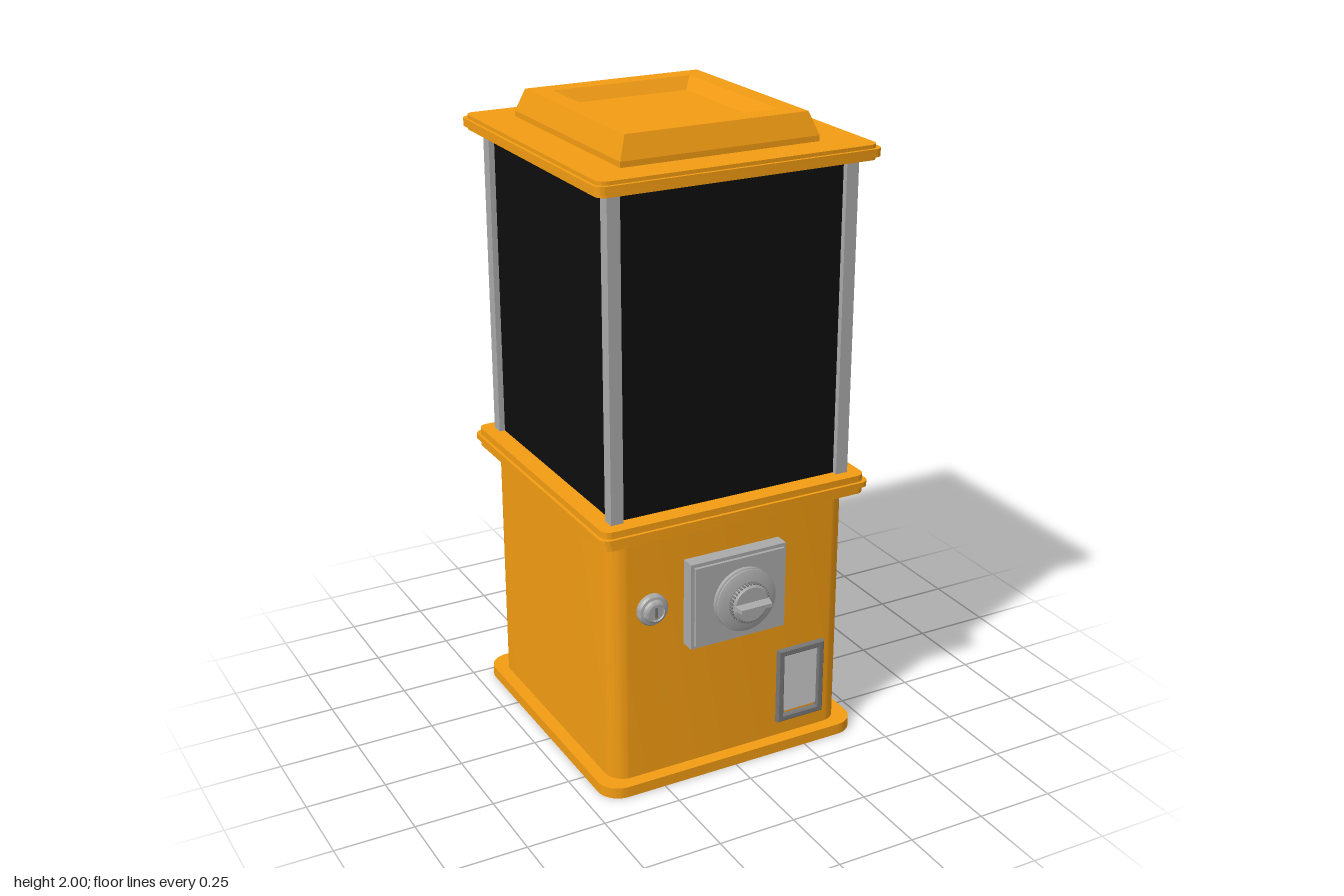
import * as THREE from 'three';
import { toCreasedNormals } from 'three/addons/utils/BufferGeometryUtils.js';

const CZ = -0.048; // cabinet centre in z
const mat = (color, side = THREE.FrontSide) => new THREE.MeshStandardMaterial({ color, side });
const orange = mat(0xf39c12);
const steel = mat(0xaaaaaa);
const paleSteel = mat(0xbcbcbc);
const darkSteel = mat(0x777777);
const black = mat(0x0d0d0d);

export function createModel() {
  const root = new THREE.Group();

  const add = (name, geometry, material, x = 0, y = 0, z = 0, parent = root) => {
    const mesh = new THREE.Mesh(geometry, material);
    mesh.name = name;
    mesh.position.set(x, y, z);
    parent.add(mesh);
    return mesh;
  };

  const group = (name, x, y, z) => {
    const g = new THREE.Group();
    g.name = name;
    g.position.set(x, y, z);
    root.add(g);
    return g;
  };

  const roundedRect = (hw, hd, r) => {
    const s = new THREE.Shape();
    s.absarc(hw - r, hd - r, r, 0, Math.PI / 2);
    s.absarc(r - hw, hd - r, r, Math.PI / 2, Math.PI);
    s.absarc(r - hw, r - hd, r, Math.PI, Math.PI * 1.5);
    s.absarc(hw - r, r - hd, r, Math.PI * 1.5, Math.PI * 2);
    s.closePath();
    return s;
  };

  // Horizontal slab with rounded corners between two heights
  const slab = (name, hw, hd, r, y0, y1) => {
    const g = new THREE.ExtrudeGeometry(roundedRect(hw, hd, r), {
      depth: y1 - y0, bevelEnabled: false, curveSegments: 8,
    });
    g.rotateX(-Math.PI / 2);
    return add(name, toCreasedNormals(g, 0.6), orange, 0, y0, CZ);
  };

  // Turned part whose axis points forward; profile is [radius, z]
  const turned = (profile, segments = 40) => {
    const g = new THREE.LatheGeometry(profile.map(([r, z]) => new THREE.Vector2(r, z)), segments);
    g.rotateX(Math.PI / 2);
    return toCreasedNormals(g, 0.5);
  };

  // Rectangular loops [halfWidth, halfDepth, y] joined upward, last one capped
  const rectLoft = (loops) => {
    const pos = [];
    const corners = ([w, d, y]) => [[-w, y, d], [w, y, d], [w, y, -d], [-w, y, -d]];
    const quad = (a, b, c, d) => pos.push(...a, ...b, ...c, ...a, ...c, ...d);
    for (let i = 0; i < loops.length - 1; i++) {
      const lo = corners(loops[i]), hi = corners(loops[i + 1]);
      for (let k = 0; k < 4; k++) {
        const n = (k + 1) % 4;
        quad(lo[k], lo[n], hi[n], hi[k]);
      }
    }
    quad(...corners(loops[loops.length - 1]));
    const g = new THREE.BufferGeometry();
    g.setAttribute('position', new THREE.Float32BufferAttribute(pos, 3));
    g.computeVertexNormals();
    return g;
  };

  // Cabinet
  slab('baseFlange', 0.445, 0.46, 0.07, 0, 0.035);
  slab('cabinetBody', 0.404, 0.418, 0.06, 0.035, 0.835);
  slab('middleFlangeLower', 0.443, 0.458, 0.03, 0.835, 0.857);
  slab('middleFlangeEdge', 0.453, 0.468, 0.03, 0.857, 0.874);
  slab('middleFlangeUpper', 0.443, 0.458, 0.03, 0.874, 0.895);

  // Display window and corner posts
  add('displayWindow', new THREE.BoxGeometry(0.766, 0.975, 0.8), black, 0, 1.3825, CZ);
  for (const sx of [-1, 1]) {
    for (const sz of [-1, 1]) {
      add('cornerPost', new THREE.BoxGeometry(0.04, 0.975, 0.04), steel,
        sx * 0.381, 1.3825, CZ + sz * 0.398);
    }
  }

  // Lid with raised, recessed cap
  slab('lidLower', 0.443, 0.458, 0.03, 1.87, 1.88);
  slab('lidEdge', 0.453, 0.468, 0.03, 1.88, 1.904);
  slab('lidUpper', 0.443, 0.458, 0.03, 1.904, 1.915);
  add('lidCap', rectLoft([
    [0.317, 0.348, 1.91], [0.317, 0.348, 1.932], [0.292, 0.325, 2],
    [0.231, 0.262, 2], [0.205, 0.236, 1.962],
  ]), orange, -0.008, 0, -0.046);

  // Coin mechanism: stepped plate, dial, knurled hub, grip
  const coin = group('coinMechanism', 0, 0.592, 0.37);
  add('coinPlate', new THREE.BoxGeometry(0.325, 0.28, 0.05), steel, -0.002, 0, 0.02, coin);
  add('coinPlateFace', new THREE.BoxGeometry(0.303, 0.258, 0.02), steel, -0.002, 0, 0.045, coin);
  const dial = group('coinDial', 0, 0.597, 0.37);
  add('dialRing', turned([
    [0.085, 0.05], [0.085, 0.064], [0.1, 0.066], [0.1, 0.077], [0.094, 0.079],
    [0.094, 0.083], [0.1, 0.085], [0.1, 0.09], [0.082, 0.097], [0, 0.097],
  ]), steel, 0, 0, 0, dial);
  add('dialHub', turned([[0.061, 0.09], [0.061, 0.114], [0.055, 0.119], [0, 0.119]]),
    steel, 0, 0, 0, dial);
  for (let i = 0; i < 36; i++) {
    const a = (i / 36) * Math.PI * 2;
    const rib = add('hubRib', new THREE.BoxGeometry(0.007, 0.006, 0.017), darkSteel,
      Math.cos(a) * 0.061, Math.sin(a) * 0.061, 0.105, dial);
    rib.rotation.z = a;
  }
  const grip = rectLoft([[0.06, 0.009, 0], [0.052, 0.006, 0.04]]);
  grip.rotateX(Math.PI / 2);
  add('dialGrip', grip, steel, 0, 0, 0.11, dial);

  // Lock with keyhole
  const lock = group('lock', -0.273, 0.597, 0.37);
  add('lockBody', turned([
    [0.05, -0.005], [0.05, 0.012], [0.045, 0.018], [0.037, 0.02],
    [0.034, 0.03], [0.027, 0.034], [0.025, 0.03], [0, 0.03],
  ], 32), steel, 0, 0, 0, lock);
  add('keySlot', new THREE.BoxGeometry(0.009, 0.034, 0.004), darkSteel, 0, 0, 0.031, lock);

  // Dispensing door: open frame around a hinged flap
  const door = group('dispensingDoor', 0.248, 0.213, 0.37);
  const rect = (Type, w, h) => new Type([
    new THREE.Vector2(-w, -h), new THREE.Vector2(w, -h),
    new THREE.Vector2(w, h), new THREE.Vector2(-w, h),
  ]);
  const frame = rect(THREE.Shape, 0.079, 0.123);
  frame.holes.push(rect(THREE.Path, 0.065, 0.109));
  add('doorFrame', new THREE.ExtrudeGeometry(frame, {
    depth: 0.012, bevelThickness: 0.004, bevelSize: 0.004, bevelSegments: 1,
  }), darkSteel, 0, 0, 0, door);
  add('doorFlap', new THREE.BoxGeometry(0.12, 0.2, 0.012), paleSteel, 0, 0.006, 0.002, door);

  return root;
}
